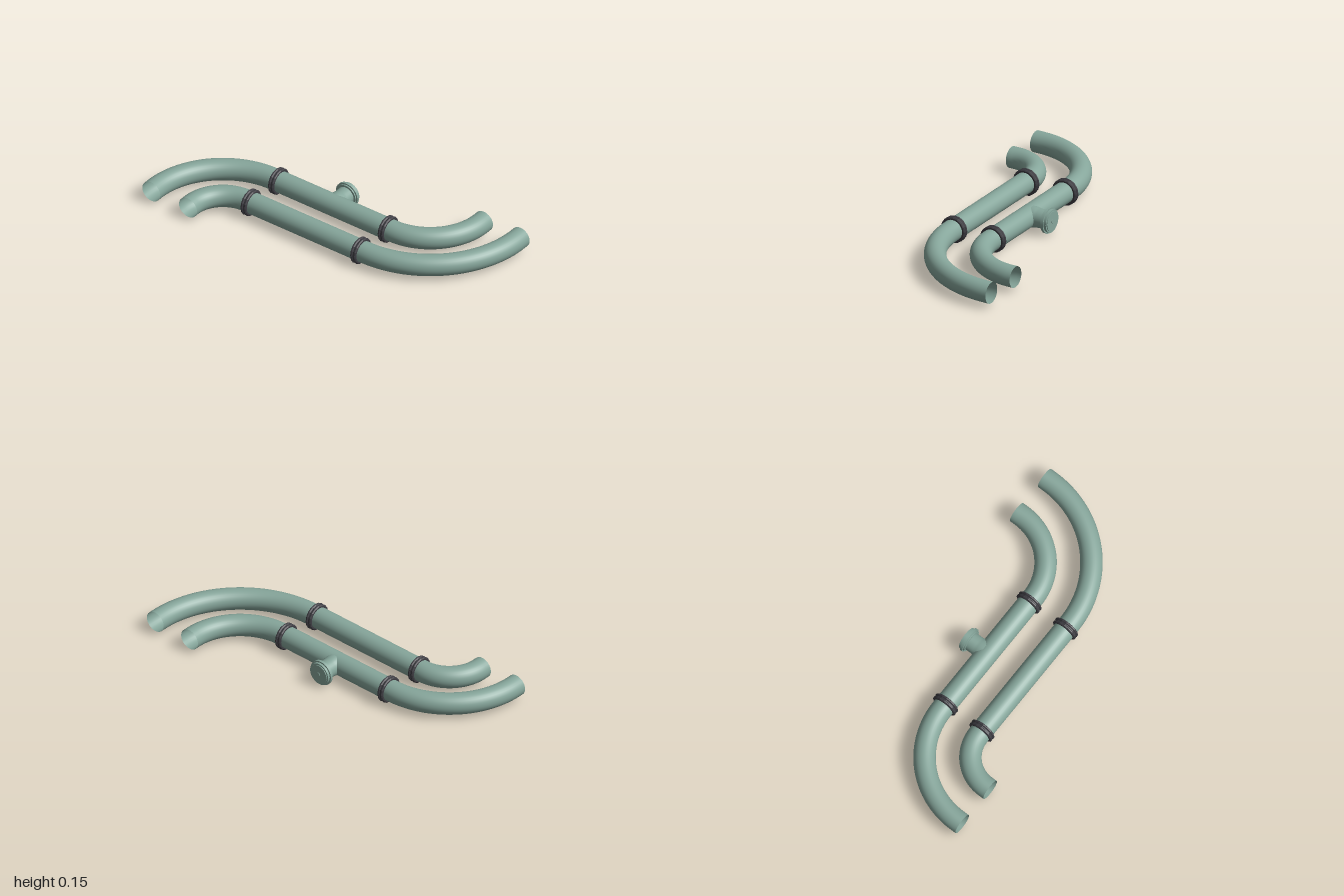
import * as THREE from 'three';

const Y = 0.077, R = 0.0615;
const BACK = -0.44, FRONT = 0.31, END = 0.436;

// Quarter bend with a short straight lead at each end; s flips it to the back
class BendPath extends THREE.Curve {
  constructor(x, z, s, reach, lead = 0.03) {
    super();
    Object.assign(this, { x, z, s, lead, r: reach - lead });
  }
  getPoint(t, target = new THREE.Vector3()) {
    const { x, z, s, r } = this, lead = this.lead, arc = r * Math.PI / 2;
    const d = t * (arc + 2 * lead) - lead;
    const a = THREE.MathUtils.clamp(d / r, 0, Math.PI / 2);
    const along = lead + r * Math.sin(a) + Math.min(d, 0);
    const across = r * (1 - Math.cos(a)) + Math.max(d - arc, 0);
    return target.set(x + s * across, Y, z + s * along);
  }
}

export function createModel() {
  const model = new THREE.Group();
  model.name = 'pipework';
  const paint = new THREE.MeshStandardMaterial({ color: 0x86a69b, side: THREE.DoubleSide });
  const rubber = new THREE.MeshStandardMaterial({ color: 0x3e3d43, flatShading: true, side: THREE.DoubleSide });

  const add = (name, geometry, material, parent = model) => {
    const mesh = new THREE.Mesh(geometry, material);
    mesh.name = name;
    parent.add(mesh);
    return mesh;
  };
  const lathe = (points, sides) =>
    new THREE.LatheGeometry(points.map(p => new THREE.Vector2(...p)), sides);

  // Double-ridged coupling band, turned to lie along z
  const collarGeometry = lathe([
    [0.06, -0.018], [0.071, -0.018], [0.077, -0.013], [0.077, -0.007], [0.071, -0.002],
    [0.071, 0.002], [0.077, 0.007], [0.077, 0.013], [0.071, 0.018], [0.06, 0.018],
  ], 16).rotateX(Math.PI / 2);

  // Two parallel runs, each straight in the middle and bent at both ends
  const length = FRONT - BACK;
  for (const [side, x] of [['left', 0.061], ['right', -0.19]]) {
    const run = new THREE.Group();
    run.name = side + 'Run';
    model.add(run);
    const straight = new THREE.CylinderGeometry(R, R, length, 32, 1, true).rotateX(Math.PI / 2);
    add('straightPipe', straight, paint, run).position.set(x, Y, (FRONT + BACK) / 2);
    for (const [end, z, s] of [['front', FRONT, 1], ['back', BACK, -1]]) {
      const path = new BendPath(x, z, s, END - s * x);
      add(end + 'Bend', new THREE.TubeGeometry(path, 40, R, 32, false), paint, run);
      add(end + 'Collar', collarGeometry, rubber, run).position.set(x, Y, z);
    }
  }

  // Capped side outlet pointing along +x from the left run
  const outlet = new THREE.Group();
  outlet.name = 'sideOutlet';
  outlet.position.set(0.061, Y, -0.063);
  outlet.rotation.z = -Math.PI / 2;
  model.add(outlet);
  add('neck', lathe([
    [0.06, 0.02], [0.059, 0.04], [0.056, 0.055], [0.054, 0.07], [0.054, 0.115],
  ], 32), paint, outlet);

  // Each band of the cap is its own disc, so its edges stay sharp
  const disc = (name, radius, from, to) =>
    add(name, new THREE.CylinderGeometry(radius, radius, to - from, 32), paint, outlet)
      .position.y = (from + to) / 2;
  disc('capBase', 0.066, 0.111, 0.12);
  disc('capFlange', 0.074, 0.119, 0.134);
  disc('capBody', 0.066, 0.133, 0.148);
  disc('capFace', 0.057, 0.147, 0.152);
  disc('capButton', 0.011, 0.151, 0.155);

  return model;
}
